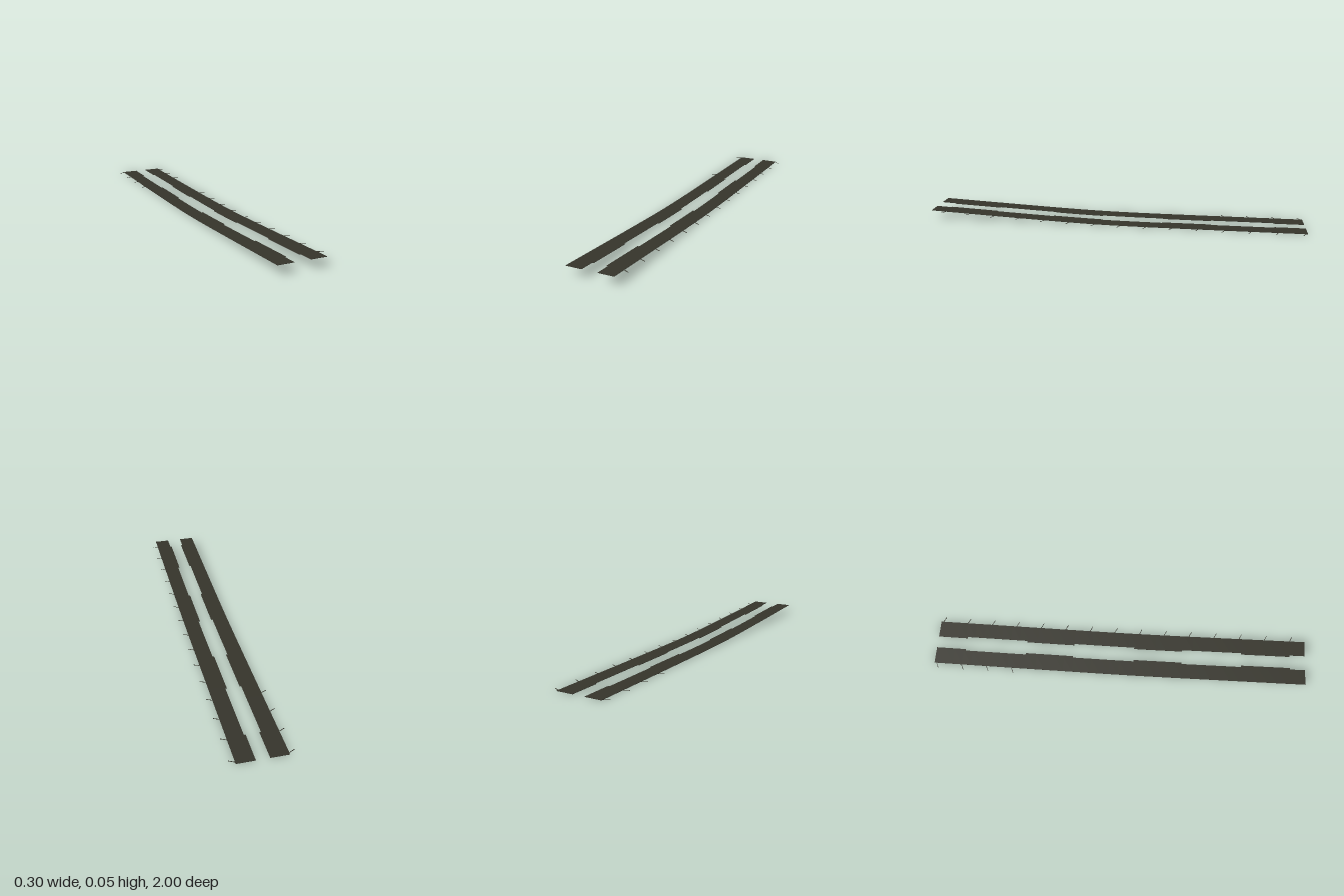
import * as THREE from 'three';

// Height of the track surface: nearly level at the back, ramping up to the front
const height = (z) => 0.001 + 0.025 * (z - 0.09 + Math.hypot(z - 0.09, 0.22));

// Thin slab in plan, bent to follow the ramp
function slab(name, material, x0, x1, z0, z1) {
  const segments = Math.max(1, Math.round((z1 - z0) / 0.05));
  const geometry = new THREE.BoxGeometry(x1 - x0, 0.0016, z1 - z0, 1, 1, segments);
  geometry.translate((x0 + x1) / 2, 0, (z0 + z1) / 2);
  const p = geometry.attributes.position;
  for (let i = 0; i < p.count; i++) p.setY(i, p.getY(i) + height(p.getZ(i)));
  const mesh = new THREE.Mesh(geometry, material);
  mesh.name = name;
  return mesh;
}

export function createModel() {
  const model = new THREE.Group();
  model.name = 'twinTrack';
  const deckMaterial = new THREE.MeshStandardMaterial({ color: 0x35342b });
  deckMaterial.name = 'dark olive grey';

  const pads = [[-1, -0.84], [-0.51, -0.25], [0.08, 0.34], [0.66, 0.92]];
  for (const side of [1, -1]) {
    const lane = new THREE.Group();
    lane.name = side > 0 ? 'leftLane' : 'rightLane';
    const strip = (name, a, b, z0, z1) =>
      lane.add(slab(name, deckMaterial, Math.min(a * side, b * side), Math.max(a * side, b * side), z0, z1));
    strip('deck', 0.04, 0.121, -1, 1);

    // Wider stretches along the inner edge
    for (const [z0, z1] of pads) strip('innerPad', 0.032, 0.04, z0, z1);

    // Slim brackets on the outer edge; the right lane has them only at the back
    const count = side > 0 ? 15 : 4;
    for (let i = 0; i < count; i++) {
      const z = -0.982 + i * 0.1364;
      const bracket = new THREE.Mesh(new THREE.BoxGeometry(0.032, 0.0014, 0.003), deckMaterial);
      bracket.name = 'outerBracket';
      bracket.position.set(side * 0.134, height(z) - 0.0006, z);
      bracket.rotation.y = -side * 0.45;
      lane.add(bracket);
    }
    model.add(lane);
  }
  return model;
}
